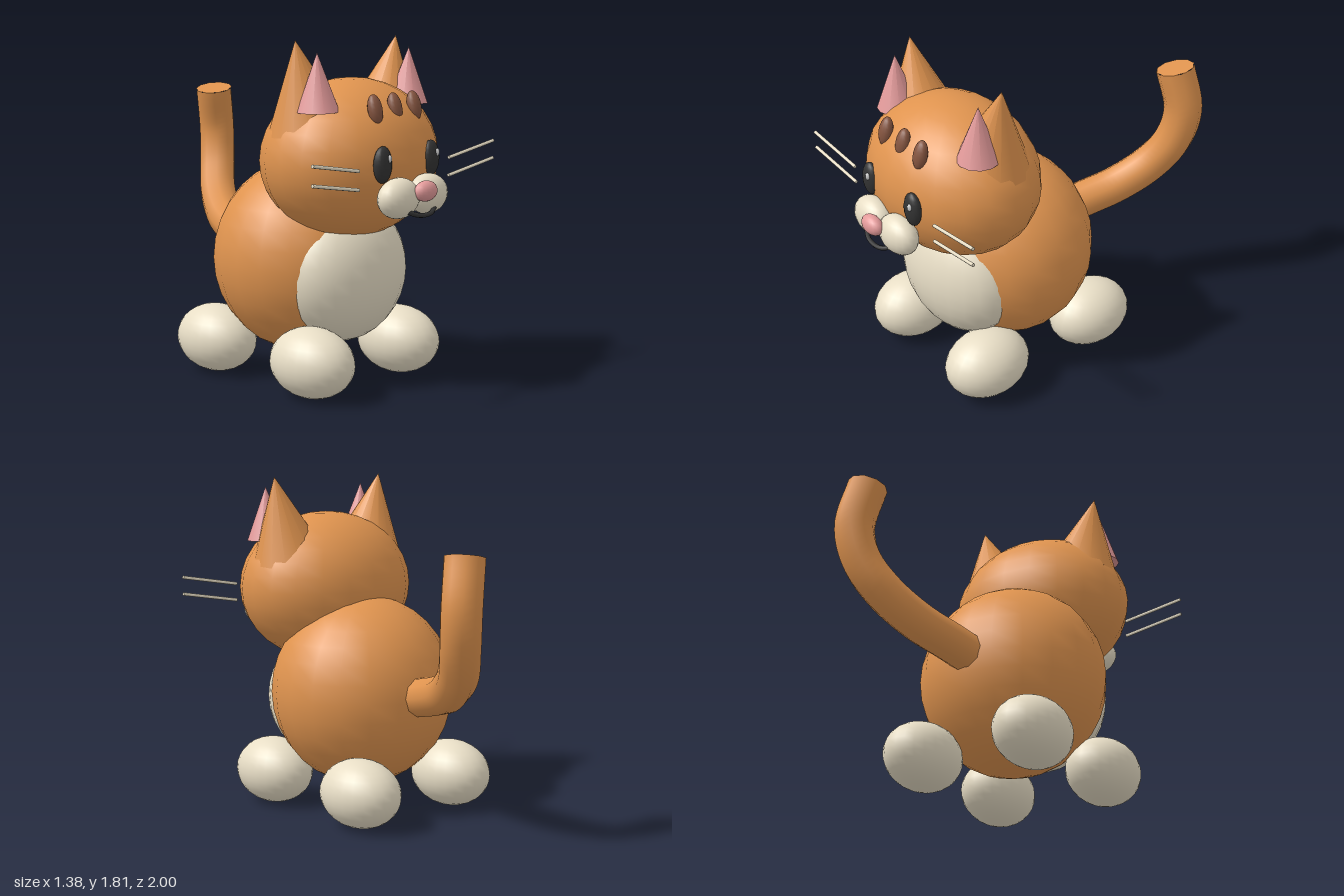
import * as THREE from 'three';

const paint = (color) => new THREE.MeshStandardMaterial({ color });

export function createModel() {
  const cat = new THREE.Group();
  cat.name = 'cat';
  const orange = paint(0xe0944f), cream = paint(0xe8dec6), pink = paint(0xe39a9a);
  const brown = paint(0x84543f), dark = paint(0x333333), white = paint(0xffffff);

  const add = (name, geometry, material, [x, y, z]) => {
    const mesh = new THREE.Mesh(geometry, material);
    mesh.name = name;
    mesh.position.set(x, y, z);
    cat.add(mesh);
    return mesh;
  };
  // Ellipsoid from a centre and three radii
  const ball = (name, material, centre, radii, w = 24, h = 16) =>
    add(name, new THREE.SphereGeometry(1, w, h).scale(...radii), material, centre);
  // Tube along a smooth path
  const tube = (name, material, points, radius, steps, sides) => {
    const curve = new THREE.CatmullRomCurve3(points.map((p) => new THREE.Vector3(...p)));
    add(name, new THREE.TubeGeometry(curve, steps, radius, sides), material, [0, 0, 0]);
    return curve;
  };

  // Body, belly and head
  ball('body', orange, [0, 0.65, 0.14], [0.515, 0.52, 0.48], 20, 16);
  ball('belly', cream, [0, 0.6, 0.42], [0.39, 0.37, 0.26]);
  ball('head', orange, [0, 1.2, 0.45], [0.515, 0.412, 0.412], 20, 16);

  // Paired parts: s = 1 is the left side, s = -1 the right side
  for (const s of [1, -1]) {
    const side = s > 0 ? 'left' : 'right';
    ball(side + 'FrontPaw', cream, [s * 0.335, 0.187, 0.505], [0.19, 0.182, 0.242]);
    ball(side + 'BackPaw', cream, [s * 0.335, 0.187, -0.21], [0.19, 0.182, 0.242]);

    // Ears lean outward, with the pink inner cone set in front
    const ear = add(side + 'Ear', new THREE.ConeGeometry(0.205, 0.45, 16), orange, [s * 0.33, 1.592, 0.425]);
    ear.rotation.z = -s * 0.22;
    const inner = add(side + 'InnerEar', new THREE.ConeGeometry(0.11, 0.29, 12), pink, [s * 0.342, 1.61, 0.542]);
    inner.rotation.z = -s * 0.03;

    // Face
    ball(side + 'Eye', dark, [s * 0.183, 1.215, 0.83], [0.058, 0.092, 0.036], 16, 12);
    ball(side + 'EyeHighlight', white, [s * 0.183 + 0.017, 1.245, 0.859], [0.014, 0.02, 0.012], 10, 8);
    ball(side + 'Muzzle', cream, [s * 0.11, 1.047, 0.872], [0.13, 0.102, 0.083], 20, 14);

    // Whiskers
    for (const y of [1.2, 1.108]) {
      const from = new THREE.Vector3(s * 0.345, y, 0.82);
      const to = new THREE.Vector3(s * 0.69, y + 0.06, 0.843);
      const dir = to.clone().sub(from);
      const whisker = add(side + 'Whisker', new THREE.CylinderGeometry(0.009, 0.009, dir.length(), 8),
        cream, from.add(to).multiplyScalar(0.5).toArray());
      whisker.quaternion.setFromUnitVectors(new THREE.Vector3(0, 1, 0), dir.normalize());
    }
  }

  ball('nose', pink, [0, 1.08, 0.953], [0.075, 0.052, 0.044], 16, 12);

  // Smiling mouth
  const smile = [[-0.105, 0.985, 0.925], [-0.055, 0.966, 0.947], [0, 0.96, 0.953],
    [0.055, 0.966, 0.947], [0.105, 0.985, 0.925]];
  tube('mouth', dark, smile, 0.012, 16, 8);
  for (const p of [smile[0], smile[4]]) ball('mouthCorner', dark, p, [0.012, 0.012, 0.012], 8, 6);

  // Forehead stripes
  for (const x of [-0.148, 0, 0.148]) {
    ball('foreheadStripe', brown, [x, 1.476, 0.747], [0.041, 0.077, 0.034], 14, 10).rotation.x = -0.25;
  }

  // Tail sweeping back and up, closed by a flat tip
  const tail = tube('tail', orange, [[0, 0.66, -0.26], [0.03, 0.69, -0.42], [0.1, 0.75, -0.61],
    [0.19, 0.87, -0.77], [0.27, 1.03, -0.86], [0.3, 1.22, -0.895], [0.25, 1.463, -0.865]], 0.105, 32, 10);
  const tip = add('tailTip', new THREE.CircleGeometry(0.105, 10), orange, tail.getPoint(1).toArray());
  tip.quaternion.setFromUnitVectors(new THREE.Vector3(0, 0, 1), tail.getTangent(1));

  return cat;
}
